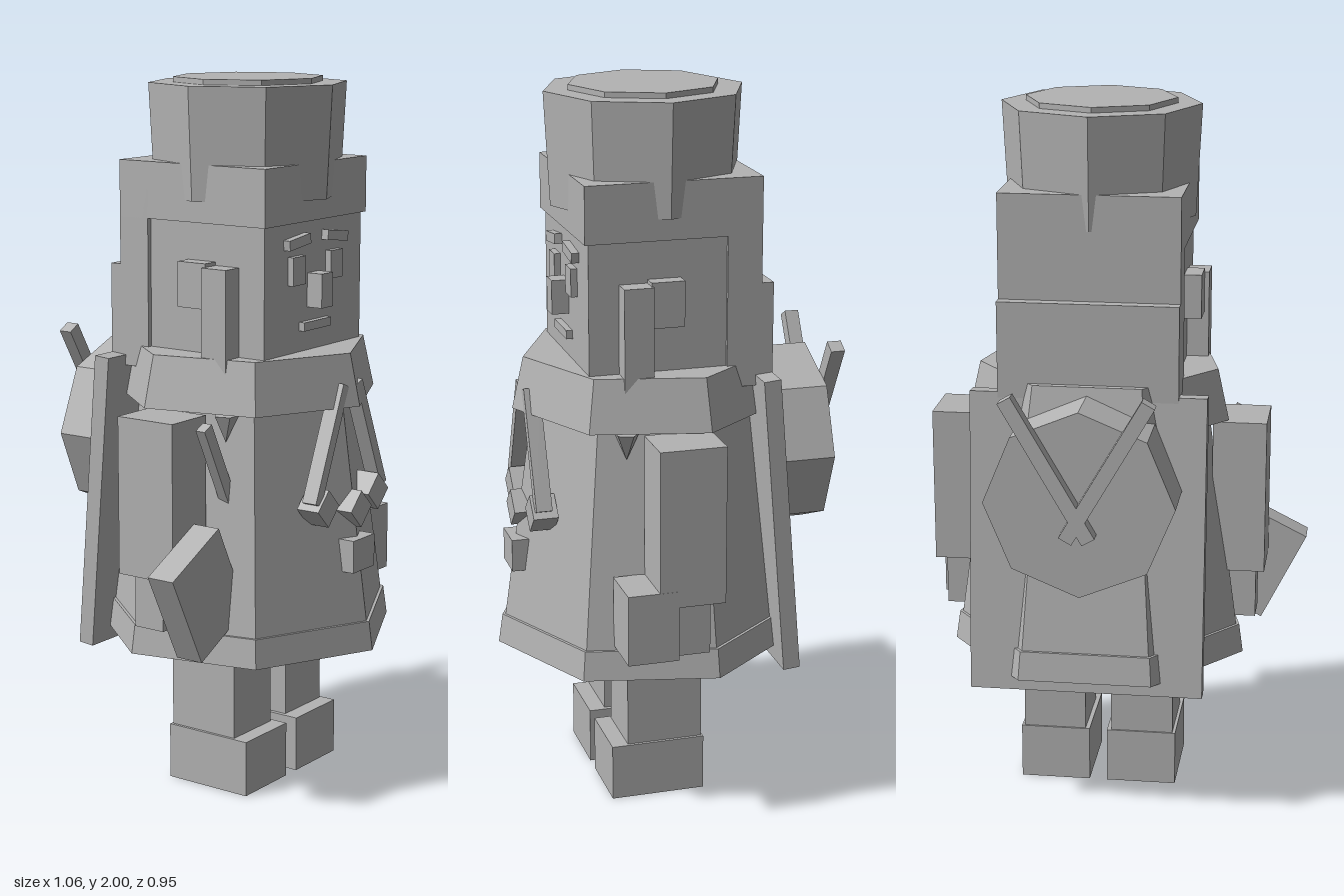
import * as THREE from 'three';

const CX = 0.054, CZ = 0.042; // axis of the body

export function createModel() {
  const model = new THREE.Group();
  const grey = new THREE.MeshStandardMaterial({ color: 0xb3b3b3, flatShading: true });
  grey.name = 'plain grey';

  const add = (name, geometry, x, y, z, rz = 0, rx = 0) => {
    const mesh = new THREE.Mesh(geometry, grey);
    mesh.name = name;
    mesh.position.set(x, y, z);
    mesh.rotation.set(rx, 0, rz);
    model.add(mesh);
    return mesh;
  };
  // Box between two corners
  const span = (name, x0, x1, y0, y1, z0, z1) =>
    add(name, new THREE.BoxGeometry(x1 - x0, y1 - y0, z1 - z0), (x0 + x1) / 2, (y0 + y1) / 2, (z0 + z1) / 2);
  // Box given by offset from the body axis
  const block = (name, dx, y, z, w, h, d, rz = 0, rx = 0) =>
    add(name, new THREE.BoxGeometry(w, h, d), CX + dx, y, z, rz, rx);
  // Faceted ring around the body axis
  const prism = (name, rTop, rBottom, y0, y1, sides) =>
    add(name, new THREE.CylinderGeometry(rTop, rBottom, y1 - y0, sides), CX, (y0 + y1) / 2, CZ);

  // Seven-sided robe with hem and collar
  prism('hem', 0.418, 0.43, 0.425, 0.507, 7);
  prism('robe', 0.32, 0.41, 0.5, 1.13, 7);
  prism('collar', 0.345, 0.378, 1.115, 1.26, 7);

  // Head, hair and tall hat
  span('head', -0.18, 0.294, 1.2, 1.72, -0.2, 0.262);
  span('hair', -0.194, 0.303, 1.2, 1.485, -0.25, -0.12);
  span('hatBand', -0.194, 0.303, 1.618, 1.775, -0.217, 0.273);
  span('hatNeckFlap', -0.194, 0.303, 1.37, 1.7, -0.217, -0.12);
  prism('hatCrown', 0.278, 0.262, 1.676, 1.985, 8);
  prism('hatTop', 0.21, 0.21, 1.97, 2.0, 8);

  // Face
  block('nose', 0, 1.427, 0.28, 0.056, 0.095, 0.06);
  block('mouth', 0, 1.33, 0.262, 0.132, 0.024, 0.036);

  for (const s of [-1, 1]) {
    block('eye', s * 0.092, 1.488, 0.262, 0.061, 0.078, 0.036);
    block('eyebrow', s * 0.093, 1.567, 0.262, 0.102, 0.028, 0.042, -s * 0.12);
    block('sideburn', s * 0.255, 1.352, 0.138, 0.082, 0.305, 0.082);
    block('ear', s * 0.248, 1.452, 0.055, 0.07, 0.125, 0.092);

    // Legs and feet
    block('leg', s * 0.128, 0.31, 0.045, 0.18, 0.31, 0.216);
    block('foot', s * 0.126, 0.08, 0.066, 0.201, 0.16, 0.268);

    // Arms and hands
    block('arm', s * 0.4, 0.89, 0.042, 0.151, 0.44, 0.184);
    block('hand', s * 0.4, 0.6, 0.033, 0.1, 0.16, 0.095);

    // Hanging straps and pendants
    block('strap', s * 0.1, 1.02, 0.375, 0.03, 0.34, 0.045, s * 0.4);
    block('pendant', s * 0.127, 0.848, 0.37, 0.074, 0.074, 0.07, Math.PI / 4);

    // Shoulder clasps
    add('clasp', new THREE.ConeGeometry(0.036, 0.075, 5), CX + s * 0.285, 1.07, 0.172, 0, Math.PI);

    // Crossed sticks on the pack
    block('stick', s * 0.08, 1.082, -0.455, 0.04, 0.445, 0.04, -s * 0.525);
  }
  block('middlePendant', 0, 0.826, 0.4, 0.074, 0.074, 0.06, Math.PI / 4);
  block('buckle', 0, 0.7, 0.415, 0.108, 0.092, 0.05);

  // Raised left fist
  span('fist', 0.379, 0.53, 0.518, 0.716, 0.08, 0.222);

  // Tool held in the right hand
  add('toolHandle', new THREE.BoxGeometry(0.036, 0.4, 0.03), -0.246, 0.913, 0.175, 0.464);
  add('toolBlade', new THREE.BoxGeometry(0.23, 0.285, 0.083), -0.365, 0.639, 0.176, 0.464);

  // Sloping cape with a round pack
  block('cape', 0, 0.808, -0.26, 0.652, 0.85, 0.048, 0, 0.083);
  add('pack', new THREE.CylinderGeometry(0.261, 0.261, 0.183, 8), CX, 0.976, -0.342, 0, Math.PI / 2);

  return model;
}
